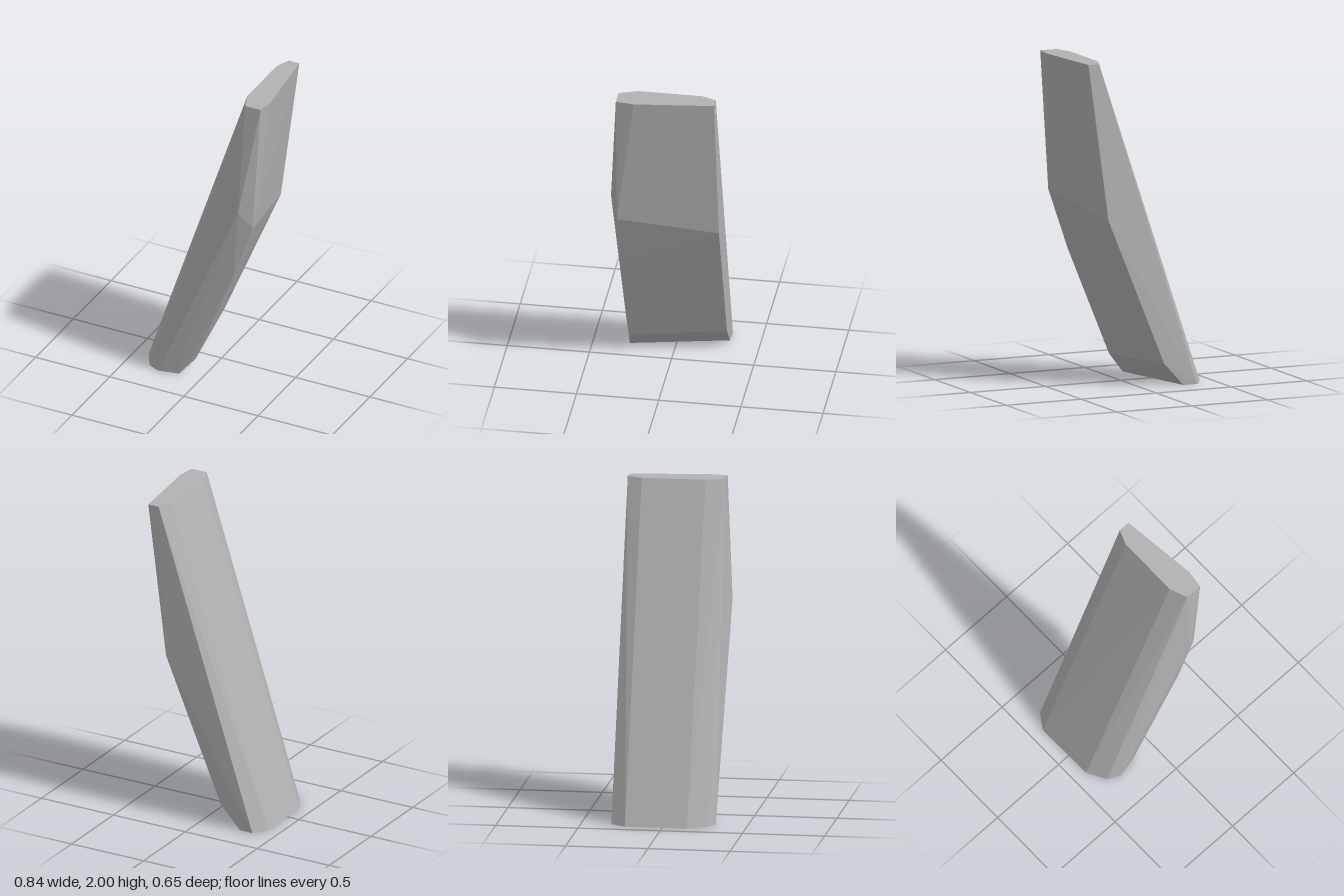
import * as THREE from 'three';
import { ConvexGeometry } from 'three/addons/geometries/ConvexGeometry.js';

export function createModel() {
  const group = new THREE.Group();
  group.name = 'leaningStone';
  const stone = new THREE.MeshStandardMaterial({ color: 0xb2b2b2 });
  stone.name = 'stone grey';

  // flat foot outline, as [x, z] at y = 0
  const foot = [[-0.145, 0.277], [-0.27, -0.313], [-0.36, -0.317], [-0.42, -0.225],
    [-0.415, 0.15], [-0.35, 0.268], [-0.275, 0.305]];
  // flat cut top outline, as [x, z] at y = 2
  const top = [[0.258, -0.225], [0.293, -0.315], [0.364, -0.315], [0.418, 0.165],
    [0.404, 0.276], [0.3, 0.276], [0.258, 0.165]];
  // corners of the bulging side between them, as [x, y, z]
  const bulge = [[-0.045, 0.12, 0.257], [-0.14, 0.14, -0.315], [-0.1, 0.2, 0.291],
    [0.22, 0.78, 0.28], [0.235, 1.04, -0.325], [0.35, 1.15, 0.277], [0.277, 1.27, 0.325]];

  const points = [
    ...foot.map(([x, z]) => new THREE.Vector3(x, 0, z)),
    ...top.map(([x, z]) => new THREE.Vector3(x, 2, z)),
    ...bulge.map((p) => new THREE.Vector3(...p)),
  ];

  // faceted stone body
  const body = new THREE.Mesh(new ConvexGeometry(points), stone);
  body.name = 'stoneBody';
  group.add(body);
  return group;
}
